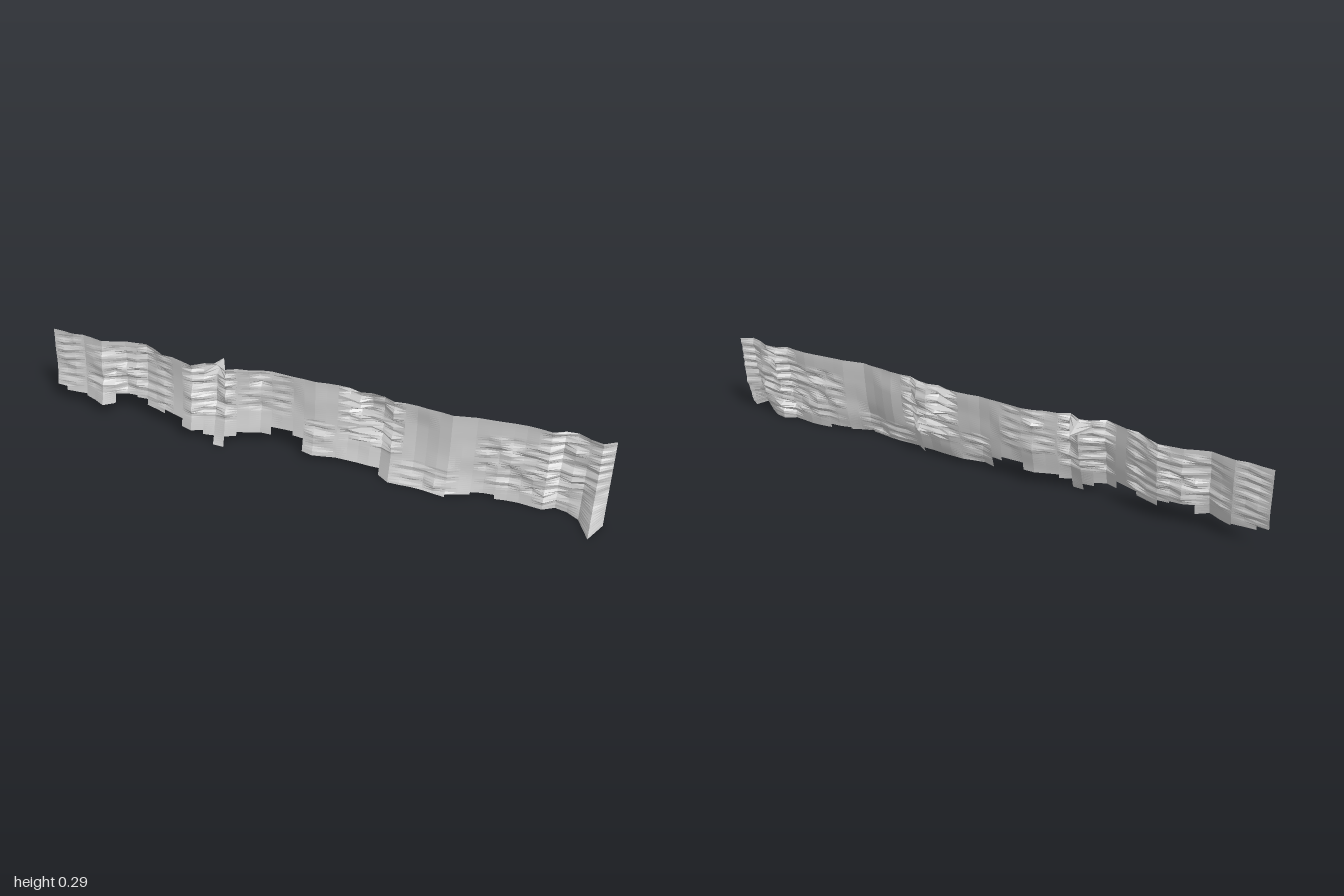
import * as THREE from 'three';

const COLS = 50, ROWS = 40, HEIGHT = 0.295;

// Piecewise-linear lookup through [position, value] points
function lookup(points, t) {
  for (let i = 1; i < points.length; i++) {
    const [a, va] = points[i - 1], [b, vb] = points[i];
    if (t <= b) return va + (vb - va) * Math.max(0, (t - a) / (b - a));
  }
  return points[points.length - 1][1];
}

// Course of the upper part of the wall seen from above: [x, z]
const course = [
  [-1, -0.1], [-0.92, -0.092], [-0.88, -0.094], [-0.8, -0.072], [-0.72, -0.097], [-0.64, -0.1], [-0.56, -0.068],
  [-0.44, -0.025], [-0.4, -0.042], [-0.36, -0.06], [-0.32, -0.04], [-0.2, -0.065], [-0.08, -0.06],
  [0, -0.05], [0.12, -0.052], [0.24, -0.052], [0.28, -0.02], [0.36, -0.016], [0.48, 0.008],
  [0.56, -0.004], [0.64, -0.006], [0.72, -0.006], [0.8, 0.006], [0.84, -0.014], [0.92, 0.008], [0.96, 0.02], [1, 0.002],
];
// How far the foot leans forward: [x, offset]
const lean = [
  [-1, 0.035], [-0.84, 0.045], [-0.8, 0.065], [-0.76, 0.045], [-0.48, 0.05], [-0.4, 0.055], [-0.36, 0.075],
  [-0.3, 0.05], [-0.2, 0.04], [-0.08, 0.04], [0, 0.06], [0.08, 0.045], [0.2, 0.055], [0.28, 0.06], [0.48, 0.052],
  [0.6, 0.025], [0.88, 0.025], [0.92, 0.035], [0.96, 0.115], [1, 0.052],
];
// Ragged lower edge: [right end of the step, y]
const foot = [
  [-0.96, 0.075], [-0.88, 0.06], [-0.76, 0.052], [-0.68, 0.09], [-0.64, 0.08], [-0.56, 0.06],
  [-0.48, 0.075], [-0.4, 0.045], [-0.36, 0.03], [-0.32, 0], [-0.28, 0.037], [-0.16, 0.052],
  [-0.08, 0.08], [-0.04, 0.065], [0.04, 0.022], [0.24, 0.022], [0.48, 0], [0.56, 0.008], [0.64, 0.015], [1, 0],
];
// Rough ledged patches: [x from, x to, depth, y from, y to]
const patches = [
  [-0.97, -0.91, 0.009, 0.08, 0.3], [-0.85, -0.67, 0.013, 0.1, 0.26], [-0.65, -0.55, 0.011, 0.08, 0.3],
  [-0.45, -0.31, 0.019, 0.1, 0.3], [-0.25, -0.11, 0.01, 0.14, 0.3], [-0.01, 0.05, 0.018, 0.03, 0.13],
  [0.11, 0.29, 0.021, 0.1, 0.3], [0.31, 0.49, 0.01, 0, 0.07],
  [0.59, 0.77, 0.015, 0.04, 0.22], [0.79, 0.93, 0.021, 0.02, 0.3], [0.95, 1.01, 0.01, 0.02, 0.3],
];

function hash(a, b) {
  const s = Math.sin(a * 127.1 + b * 311.7) * 43758.5453;
  return s - Math.floor(s);
}

// Smooth noise running up one column
function noise(col, t) {
  const i = Math.floor(t), f = t - i, s = f * f * (3 - 2 * f);
  return (hash(col, i) * (1 - s) + hash(col, i + 1) * s) * 2 - 1;
}

function depthAt(col, y) {
  const x = -1 + col * 2 / COLS, down = 1 - y / HEIGHT;
  let z = lookup(course, x) + lookup(lean, x) * Math.pow(down, x > 0.9 ? 3.5 : 2.2);
  // Broad swelling of the smooth stretches
  z += 0.004 * noise(Math.floor(col / 2), y * 14);
  // Ledges: short, broken layers whose height and strength change from column to column
  for (const [from, to, depth, low, high] of patches) {
    if (x < from || x > to) continue;
    const fade = THREE.MathUtils.smoothstep(y, low - 0.015, low + 0.015)
      * (1 - THREE.MathUtils.smoothstep(y, high, high + 0.02));
    const strength = 0.35 + 0.65 * hash(col, 91);
    const layer = Math.sin(y * 195 + 1.2 + 1.6 * noise(col + 200, y * 12));
    z += depth * fade * strength * (0.75 * layer * Math.abs(noise(col + 100, y * 16)) + 0.8 * noise(col, y * 34));
  }
  // Sharp ledge at the back, near the top
  if (col === 16) z -= 0.085 * Math.max(0, 1 - Math.abs(y - 0.27) / 0.018);
  return THREE.MathUtils.clamp(z, -0.135, 0.135);
}

export function createModel() {
  const group = new THREE.Group();
  const positions = [], index = [];
  for (let r = 0; r <= ROWS; r++) {
    for (let c = 0; c <= COLS; c++) {
      const y = r * HEIGHT / ROWS;
      positions.push(-1 + c * 2 / COLS, y, depthAt(c, y));
    }
  }
  // Skip cells that lie under the ragged lower edge
  for (let c = 0; c < COLS; c++) {
    const middle = -1 + (c + 0.5) * 2 / COLS;
    const bottom = foot.find(([end]) => middle < end)[1];
    for (let r = Math.round(bottom * ROWS / HEIGHT); r < ROWS; r++) {
      const a = r * (COLS + 1) + c, d = a + COLS + 1;
      index.push(a, a + 1, d + 1, a, d + 1, d);
    }
  }
  const geometry = new THREE.BufferGeometry();
  geometry.setAttribute('position', new THREE.Float32BufferAttribute(positions, 3));
  geometry.setIndex(index);
  geometry.computeVertexNormals();
  const wall = new THREE.Mesh(geometry, new THREE.MeshStandardMaterial({
    color: 0xcccccc, flatShading: true, side: THREE.DoubleSide,
  }));
  wall.name = 'rockWall';
  group.add(wall);
  return group;
}
